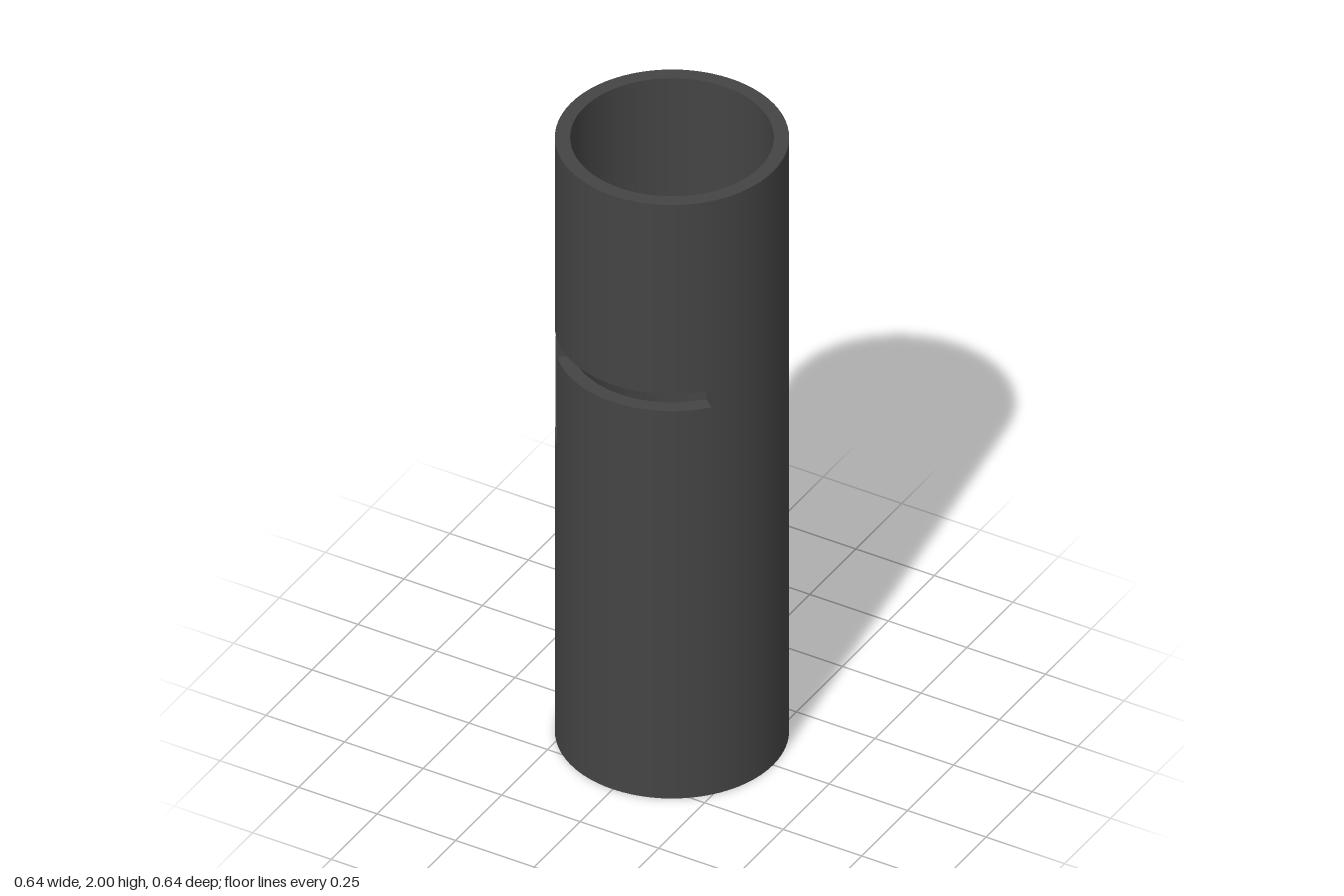
import * as THREE from 'three';

const OUTER = 0.322, INNER = 0.28;
const LEVELS = [0, 1.005, 1.305, 1.363, 2];
const SLOT = [-150, 50];   // long slot, degrees from the front towards +x
const NOTCH = [-65, -48];  // short upright slot below it

// Is there wall at this angle (degrees) and height level?
function solid(deg, level) {
  if (level < 0 || level > 3) return false;
  if (level === 2) return deg < SLOT[0] || deg > SLOT[1];
  if (level === 1) return deg < NOTCH[0] || deg > NOTCH[1];
  return true;
}

// Tube wall made of curved cells, with faces only where a cell meets open space
function tubeWall() {
  const positions = [], normals = [];
  const angles = [...SLOT, ...NOTCH];
  for (let d = -180; d <= 180; d += 5) angles.push(d);
  const degs = [...new Set(angles)].sort((a, b) => a - b);

  const dir = (d) => {
    const a = THREE.MathUtils.degToRad(d);
    return [Math.sin(a), Math.cos(a)];
  };
  // corners are [degrees, radius, height], normal is a function of degrees
  const quad = (corners, normal) => {
    for (const i of [0, 1, 2, 0, 2, 3]) {
      const [d, r, y] = corners[i];
      const [s, c] = dir(d);
      positions.push(r * s, y, r * c);
      normals.push(...normal(d));
    }
  };
  const outward = (d) => [dir(d)[0], 0, dir(d)[1]];
  const inward = (d) => [-dir(d)[0], 0, -dir(d)[1]];

  for (let i = 0; i < degs.length - 1; i++) {
    const a = degs[i], b = degs[i + 1], mid = (a + b) / 2;
    const before = i > 0 ? (degs[i - 1] + a) / 2 : 179;
    const after = i < degs.length - 2 ? (b + degs[i + 2]) / 2 : -179;
    for (let k = 0; k < 4; k++) {
      if (!solid(mid, k)) continue;
      const lo = LEVELS[k], hi = LEVELS[k + 1];
      quad([[a, OUTER, lo], [b, OUTER, lo], [b, OUTER, hi], [a, OUTER, hi]], outward);
      quad([[b, INNER, lo], [a, INNER, lo], [a, INNER, hi], [b, INNER, hi]], inward);
      // rims and slot ledges
      if (!solid(mid, k + 1))
        quad([[a, OUTER, hi], [b, OUTER, hi], [b, INNER, hi], [a, INNER, hi]], () => [0, 1, 0]);
      if (!solid(mid, k - 1))
        quad([[a, INNER, lo], [b, INNER, lo], [b, OUTER, lo], [a, OUTER, lo]], () => [0, -1, 0]);
      // slot ends
      if (!solid(after, k))
        quad([[b, OUTER, lo], [b, INNER, lo], [b, INNER, hi], [b, OUTER, hi]],
          (d) => [dir(d)[1], 0, -dir(d)[0]]);
      if (!solid(before, k))
        quad([[a, INNER, lo], [a, OUTER, lo], [a, OUTER, hi], [a, INNER, hi]],
          (d) => [-dir(d)[1], 0, dir(d)[0]]);
    }
  }
  const geometry = new THREE.BufferGeometry();
  geometry.setAttribute('position', new THREE.Float32BufferAttribute(positions, 3));
  geometry.setAttribute('normal', new THREE.Float32BufferAttribute(normals, 3));
  return geometry;
}

export function createModel() {
  const group = new THREE.Group();
  group.name = 'slottedTube';

  const darkGrey = new THREE.MeshStandardMaterial({ color: 0x444444 });
  darkGrey.name = 'darkGrey';

  const wall = new THREE.Mesh(tubeWall(), darkGrey);
  wall.name = 'tubeWall';
  group.add(wall);

  // Thin floor flush with the bottom rim
  const floor = new THREE.Mesh(new THREE.CylinderGeometry(INNER, INNER, 0.01, 24), darkGrey);
  floor.name = 'floor';
  floor.position.y = 0.005;
  group.add(floor);

  return group;
}
